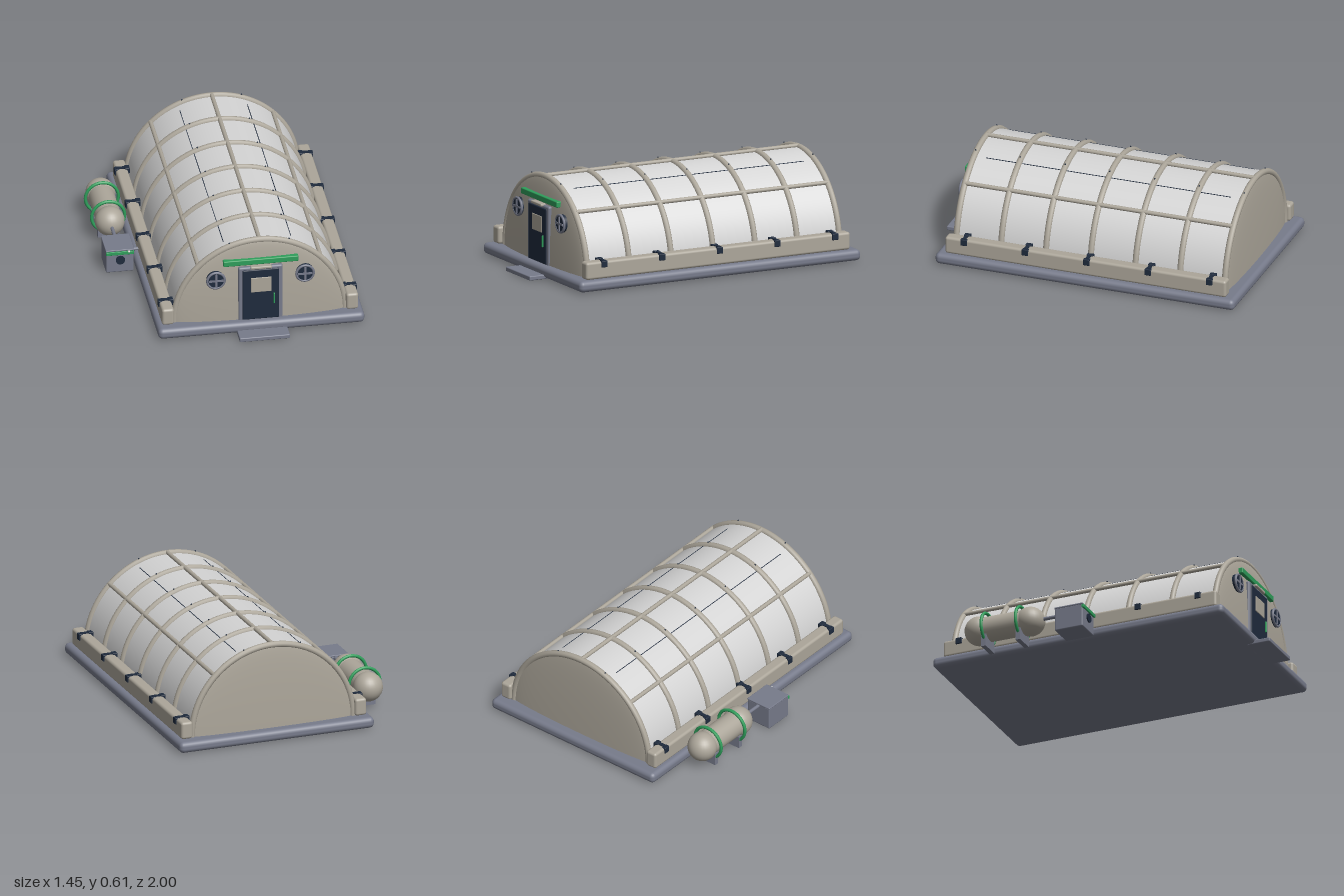
import * as THREE from 'three';
import { RoundedBoxGeometry } from 'three/addons/geometries/RoundedBoxGeometry.js';

const mat = (name, color) => Object.assign(new THREE.MeshStandardMaterial({ color }), { name });

export function createModel() {
  const slate = mat('slate', 0x777b8b);
  const beige = mat('beige', 0xaca69a);
  const skin = mat('skin', 0xd4d4d4);
  skin.side = THREE.DoubleSide;
  const navy = mat('navy', 0x1f2b3d);
  const green = mat('green', 0x2f9e5b);
  const white = mat('white', 0xe8e8e0);

  const root = new THREE.Group();
  const add = (name, geo, material, x, y, z, parent = root) => {
    const m = new THREE.Mesh(geo, material);
    m.name = name;
    m.position.set(x, y, z);
    parent.add(m);
    return m;
  };
  // box given by its min and max corners, optionally rounded
  const box = (name, material, [x0, x1], [y0, y1], [z0, z1], r = 0, parent = root) => {
    const s = [x1 - x0, y1 - y0, z1 - z0];
    const geo = r ? new RoundedBoxGeometry(...s, 3, r) : new THREE.BoxGeometry(...s);
    return add(name, geo, material, (x0 + x1) / 2, (y0 + y1) / 2, (z0 + z1) / 2, parent);
  };
  const zCyl = (r, len, seg = 24) => new THREE.CylinderGeometry(r, r, len, seg).rotateX(Math.PI / 2);

  // foundation and doorstep
  box('foundation', slate, [-0.525, 0.725], [0.005, 0.073], [-1, 0.905], 0.028);
  box('doorstep', slate, [-0.05, 0.255], [0, 0.027], [0.85, 1], 0.006);

  // vaulted shelter, centred on its own axis
  const hall = new THREE.Group();
  hall.name = 'hall';
  hall.position.set(0.1, 0.073, 0);
  root.add(hall);
  const R = 0.517, zBack = -0.905, zFront = 0.805, zMid = (zBack + zFront) / 2, len = zFront - zBack;
  add('vaultSkin', new THREE.CylinderGeometry(R, R, len, 72, 1, true, -Math.PI / 2, Math.PI)
    .rotateX(-Math.PI / 2), skin, 0, 0, zMid, hall);

  // shallow bulging end walls
  for (const [name, z, turn, depth] of [['frontWall', zFront, 0, 0.05], ['backWall', zBack, Math.PI, 0.03]]) {
    const geo = new THREE.SphereGeometry(1, 48, 24, 0, Math.PI, 0, Math.PI / 2).scale(0.525, 0.53, depth);
    add(name, geo, beige, 0, 0, z, hall).rotation.y = turn;
  }

  // arched ribs with small bolts
  for (let i = 0; i < 7; i++) {
    const z = zBack + (len * i) / 6;
    add('rib', new THREE.TorusGeometry(R, 0.019, 10, 56, Math.PI), beige, 0, 0, z, hall);
    for (const s of [-1, 1]) {
      const a = s * 0.345;
      add('ribBolt', new THREE.SphereGeometry(0.005, 8, 6), navy,
        Math.sin(a) * 0.537, Math.cos(a) * 0.537, z, hall);
    }
  }

  // lengthwise stringers and thin seams
  for (const a of [-Math.PI / 4, 0, Math.PI / 4])
    add('stringer', zCyl(0.013, len, 12), beige, Math.sin(a) * 0.524, Math.cos(a) * 0.524, zMid, hall);
  for (const s of [-1, 1]) {
    const a = s * 0.407;
    add('seam', new THREE.BoxGeometry(0.004, 0.004, 1.56), navy,
      Math.sin(a) * R, Math.cos(a) * R, zMid, hall).rotation.z = -a;
  }

  // side curbs with clamps
  for (const s of [-1, 1]) {
    const span = (a, b) => (s > 0 ? [0.1 + a, 0.1 + b] : [0.1 - b, 0.1 - a]);
    box('curb', beige, span(0.522, 0.595), [0.073, 0.18], [-0.94, 0.85], 0.016);
    for (let i = 0; i < 5; i++) {
      const z = -0.835 + 0.391 * i;
      const clamp = new THREE.Group();
      clamp.name = 'clamp';
      root.add(clamp);
      box('clampOuter', navy, span(0.575, 0.602), [0.143, 0.183], [z - 0.02, z + 0.02], 0.004, clamp);
      box('clampBridge', navy, span(0.53, 0.59), [0.17, 0.186], [z - 0.011, z + 0.011], 0, clamp);
      box('clampInner', navy, span(0.51, 0.54), [0.15, 0.188], [z - 0.02, z + 0.02], 0.004, clamp);
    }
  }

  // door
  const door = new THREE.Group();
  door.name = 'door';
  root.add(door);
  box('doorFrame', slate, [-0.035, 0.235], [0.06, 0.433], [0.8, 0.862], 0.012, door);
  box('doorLeaf', navy, [-0.01, 0.212], [0.075, 0.415], [0.82, 0.868], 0.006, door);
  box('doorWindow', beige, [0.04, 0.165], [0.263, 0.362], [0.864, 0.872], 0.003, door);
  box('doorHandle', green, [0.176, 0.185], [0.178, 0.25], [0.864, 0.878], 0.004, door);
  box('doorLamp', beige, [0.038, 0.166], [0.422, 0.44], [0.84, 0.877], 0.006, door);
  box('signBar', green, [-0.125, 0.33], [0.446, 0.483], [0.815, 0.858], 0.006);

  // round vents with cross bars
  for (const x of [-0.17, 0.37]) {
    const vent = new THREE.Group();
    vent.name = 'vent';
    vent.position.set(x, 0.358, 0.845);
    root.add(vent);
    add('ventDisc', zCyl(0.055, 0.03, 32), navy, 0, 0, 0, vent);
    add('ventRing', new THREE.TorusGeometry(0.052, 0.008, 8, 36), slate, 0, 0, 0.01, vent);
    add('ventBar', new THREE.BoxGeometry(0.088, 0.012, 0.008), slate, 0, 0, 0.016, vent);
    add('ventBar', new THREE.BoxGeometry(0.012, 0.088, 0.008), slate, 0, 0, 0.016, vent);
  }

  // storage tank with hoops and feet
  const tank = new THREE.Group();
  tank.name = 'tank';
  tank.position.set(-0.618, 0.137, 0);
  root.add(tank);
  add('tankBody', zCyl(0.078, 0.34, 32), beige, 0, 0, -0.478, tank);
  for (const z of [-0.645, -0.311])
    add('tankCap', new THREE.SphereGeometry(0.09, 28, 18), beige, 0, 0, z, tank);
  for (const z of [-0.59, -0.365]) {
    add('tankHoop', new THREE.TorusGeometry(0.1, 0.01, 8, 40), green, 0, 0, z, tank);
    add('tankFoot', new THREE.BoxGeometry(0.13, 0.08, 0.03), slate, 0, -0.094, z, tank);
  }
  add('tankPipe', zCyl(0.011, 0.16, 12), slate, 0, 0, -0.17, tank);

  // pump box
  const pump = new THREE.Group();
  pump.name = 'pumpBox';
  root.add(pump);
  box('pumpBody', slate, [-0.703, -0.535], [0.003, 0.15], [-0.115, 0.068], 0.008, pump);
  box('pumpLid', slate, [-0.705, -0.533], [0.145, 0.156], [-0.117, 0.07], 0.004, pump);
  box('pumpStripe', green, [-0.704, -0.534], [0.124, 0.146], [0.06, 0.077], 0.003, pump);
  add('pumpDial', zCyl(0.028, 0.016), navy, -0.617, 0.087, 0.068, pump);
  add('pumpLight', new THREE.SphereGeometry(0.007, 10, 8), white, -0.566, 0.144, 0.076, pump);
  add('pumpPipe', new THREE.CylinderGeometry(0.01, 0.01, 0.07, 12).rotateZ(Math.PI / 2), slate,
    -0.51, 0.103, -0.02, pump);

  return root;
}
